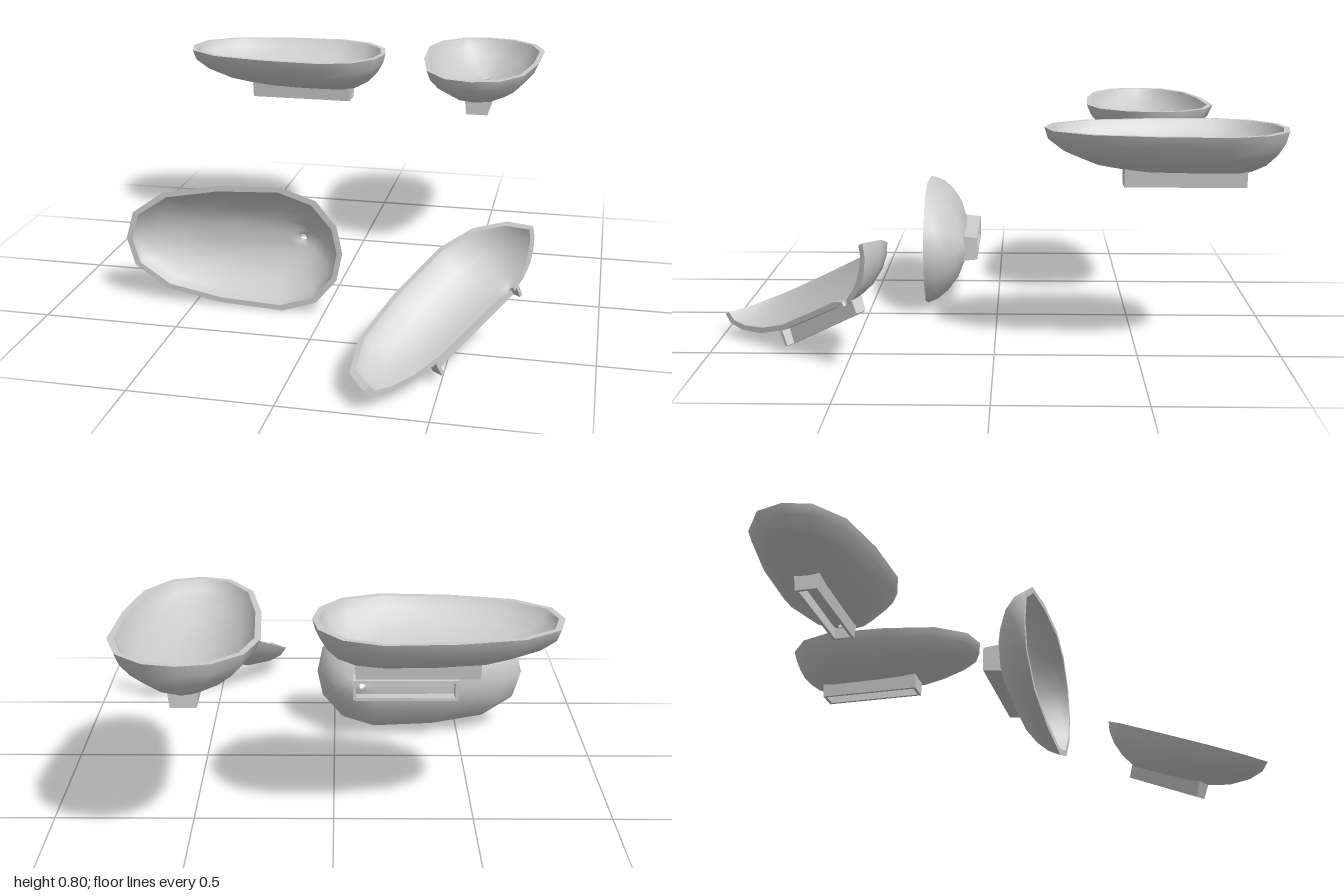
import * as THREE from 'three';
import { mergeGeometries } from 'three/addons/utils/BufferGeometryUtils.js';

const material = new THREE.MeshStandardMaterial({ color: 0xcccccc, side: THREE.DoubleSide });

// Half outline of the rim, from the drain end to the sloping end (unit scale)
const side = [[1, 0], [0.95, 0.43], [0.76, 0.82], [0.45, 1], [-0.13, 0.95], [-0.64, 0.78], [-0.93, 0.43], [-1, 0]];
const outline = [...side, ...side.slice(1, -1).reverse().map(([a, b]) => [a, -b])];

// Rings of the basin: [height, sloping end, drain end, half width]
const outer = [
  [-0.16, 0.223, 0.247, 0.012],
  [-0.152, 0.18, 0.275, 0.035],
  [-0.145, -0.13, 0.3, 0.075],
  [-0.12, -0.255, 0.345, 0.138],
  [-0.08, -0.35, 0.382, 0.192],
  [-0.04, -0.402, 0.405, 0.226],
  [0, -0.415, 0.415, 0.243],
];
const inner = [
  [0, -0.393, 0.395, 0.222],
  [-0.035, -0.378, 0.384, 0.204],
  [-0.07, -0.325, 0.36, 0.17],
  [-0.105, -0.235, 0.325, 0.122],
  [-0.127, -0.12, 0.29, 0.07],
  [-0.133, 0.185, 0.272, 0.034],
  [-0.145, 0.223, 0.247, 0.012],
];

function ringPoint([y, x0, x1, w], [a, b]) {
  return [(x0 + x1) / 2 + (a * (x1 - x0)) / 2, y, -b * w];
}

// Skin stretched over a list of rings, all round or over one half
function loft(rings, half) {
  const cols = half ? side : outline;
  const n = cols.length;
  const index = [];
  for (let i = 0; i < rings.length - 1; i++) {
    for (let j = 0; j < (half ? n - 1 : n); j++) {
      const k = (j + 1) % n;
      const a = i * n + j, b = i * n + k, c = b + n, d = a + n;
      index.push(a, b, c, a, c, d);
    }
  }
  const geo = new THREE.BufferGeometry();
  const points = rings.flatMap((r) => cols.flatMap((c) => ringPoint(r, c)));
  geo.setAttribute('position', new THREE.Float32BufferAttribute(points, 3));
  geo.setIndex(index);
  geo.computeVertexNormals();
  return geo;
}

// Hollow foot, open below and slightly wider towards the basin
function footGeometry(half) {
  const x0 = -0.143, x1 = 0.272, w = 0.045, t = 0.012, h = 0.062;
  const corners = (list) => list.map(([x, y]) => new THREE.Vector2(x, y));
  let shape;
  if (half) {
    shape = new THREE.Shape(corners([[x0, 0], [x0 + t, 0], [x0 + t, w - t], [x1 - t, w - t],
      [x1 - t, 0], [x1, 0], [x1, w], [x0, w]]));
  } else {
    shape = new THREE.Shape(corners([[x0, -w], [x1, -w], [x1, w], [x0, w]]));
    shape.holes.push(new THREE.Path(corners([[x0 + t, t - w], [x0 + t, w - t], [x1 - t, w - t], [x1 - t, t - w]])));
  }
  const geo = new THREE.ExtrudeGeometry(shape, { depth: h, bevelEnabled: false });
  geo.rotateX(-Math.PI / 2);
  const p = geo.attributes.position;
  for (let i = 0; i < p.count; i++) p.setZ(i, p.getZ(i) * (0.95 + (0.15 * p.getY(i)) / h));
  geo.translate(0, -0.2, 0);
  geo.computeVertexNormals();
  return geo;
}

// Flat faces where the half basin is cut, one on each side of the drain
function cutFaces() {
  const profile = [...outer, ...inner];
  const faces = [side[0], side[side.length - 1]].map((col) => new THREE.ShapeGeometry(
    new THREE.Shape(profile.map((r) => {
      const [x, y] = ringPoint(r, col);
      return new THREE.Vector2(x, y);
    }))));
  return mergeGeometries(faces);
}

function part(name, geometry) {
  const mesh = new THREE.Mesh(geometry, material);
  mesh.name = name;
  return mesh;
}

function bathtub(name, half = false) {
  const tub = new THREE.Group();
  tub.name = name;
  tub.add(
    part('outerShell', loft(outer, half)),
    part('rim', loft([outer[outer.length - 1], inner[0]], half)),
    part('basin', loft(inner, half)),
    part('drainEdge', loft([inner[inner.length - 1], outer[0]], half)),
    part('foot', footGeometry(half)),
  );
  if (half) tub.add(part('cutFace', cutFaces()));
  return tub;
}

export function createModel() {
  const model = new THREE.Group();
  model.name = 'bathtubs';

  const longTub = bathtub('sidewaysTub');
  longTub.position.set(-0.345, 0.8, -0.587);

  const turnedTub = bathtub('lengthwaysTub');
  turnedTub.position.set(0.47, 0.8, -0.585);
  turnedTub.rotation.y = Math.PI / 2;

  const uprightTub = bathtub('uprightTub');
  uprightTub.position.set(-0.345, 0.243, 0.28);
  uprightTub.rotation.x = Math.PI / 2;

  // Half tub, tilted with its drain end up
  const halfTub = bathtub('halfTub', true);
  const along = new THREE.Vector3(0.566, 0.458, -0.687).normalize();
  const across = new THREE.Vector3(0.772, 0, 0.636).normalize();
  const up = new THREE.Vector3().crossVectors(across, along).normalize();
  halfTub.quaternion.setFromRotationMatrix(new THREE.Matrix4().makeBasis(along, up, across));
  halfTub.position.set(0.525, 0.27, 0.705);

  model.add(longTub, turnedTub, uprightTub, halfTub);
  return model;
}
